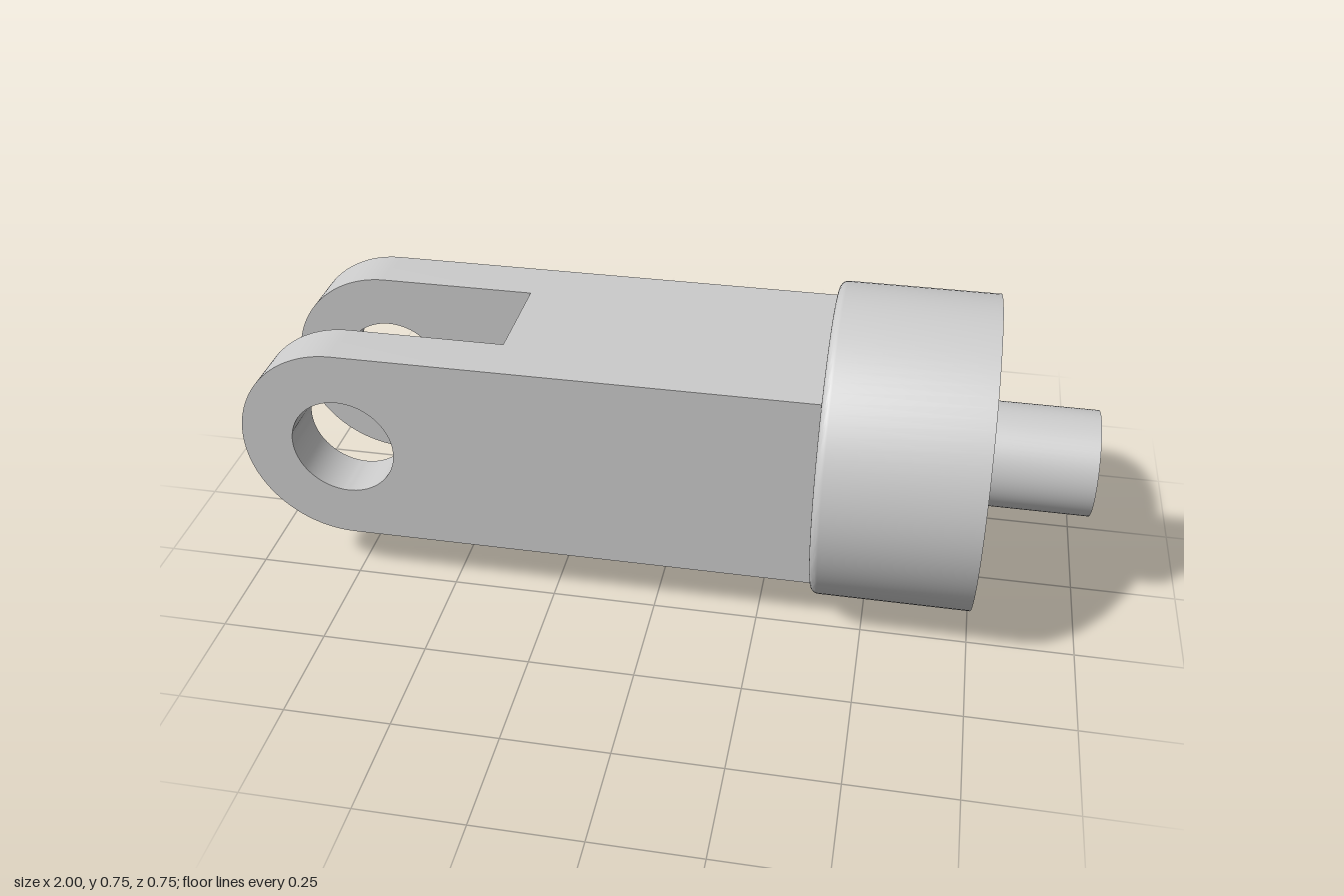
import * as THREE from 'three';
import { toCreasedNormals } from 'three/addons/utils/BufferGeometryUtils.js';

const AXIS_Y = 0.375; // height of the long axis
const material = new THREE.MeshStandardMaterial({ color: 0xcccccc });

function addMesh(parent, name, geometry) {
  const mesh = new THREE.Mesh(geometry, material);
  mesh.name = name;
  parent.add(mesh);
  return mesh;
}

// Side outline of a fork cheek: round eye end at -x, square end at the collar
function cheekGeometry() {
  const shape = new THREE.Shape();
  shape.moveTo(0.375, -0.25);
  shape.lineTo(0.375, 0.25);
  shape.lineTo(-0.75, 0.25);
  shape.absarc(-0.75, 0, 0.25, Math.PI / 2, Math.PI * 1.5, false);
  shape.closePath();

  const hole = new THREE.Path();
  hole.absarc(-0.75, 0, 0.125, 0, Math.PI * 2, true);
  shape.holes.push(hole);

  const geometry = new THREE.ExtrudeGeometry(shape, { depth: 0.125, bevelEnabled: false, curveSegments: 40 });
  return toCreasedNormals(geometry, 0.5);
}

// Collar turned around the long axis, with a small fillet on the fork side
function collarGeometry() {
  const fillet = 0.02;
  const profile = [new THREE.Vector2(0, 0.375)];
  for (let i = 0; i <= 6; i++) {
    const a = (i / 6) * Math.PI / 2;
    profile.push(new THREE.Vector2(
      0.375 - fillet + fillet * Math.sin(a),
      0.375 + fillet - fillet * Math.cos(a)
    ));
  }
  profile.push(new THREE.Vector2(0.375, 0.75), new THREE.Vector2(0, 0.75));
  const geometry = new THREE.LatheGeometry(profile, 96);
  geometry.rotateZ(-Math.PI / 2);
  return toCreasedNormals(geometry, 0.5);
}

export function createModel() {
  const model = new THREE.Group();
  model.name = 'clevisRod';

  // Fork: two cheeks with a solid core between them, leaving the slot open
  const fork = new THREE.Group();
  fork.name = 'fork';
  const cheek = cheekGeometry();
  addMesh(fork, 'leftCheek', cheek).position.z = 0.125;
  addMesh(fork, 'rightCheek', cheek).position.z = -0.25;
  addMesh(fork, 'forkCore', new THREE.BoxGeometry(0.75, 0.5, 0.25));
  model.add(fork);

  // Collar and end pin
  addMesh(model, 'collar', collarGeometry());
  const pin = new THREE.CylinderGeometry(0.125, 0.125, 0.25, 64);
  pin.rotateZ(-Math.PI / 2);
  addMesh(model, 'endPin', pin).position.x = 0.875;

  for (const part of model.children) part.position.y = AXIS_Y;
  return model;
}
